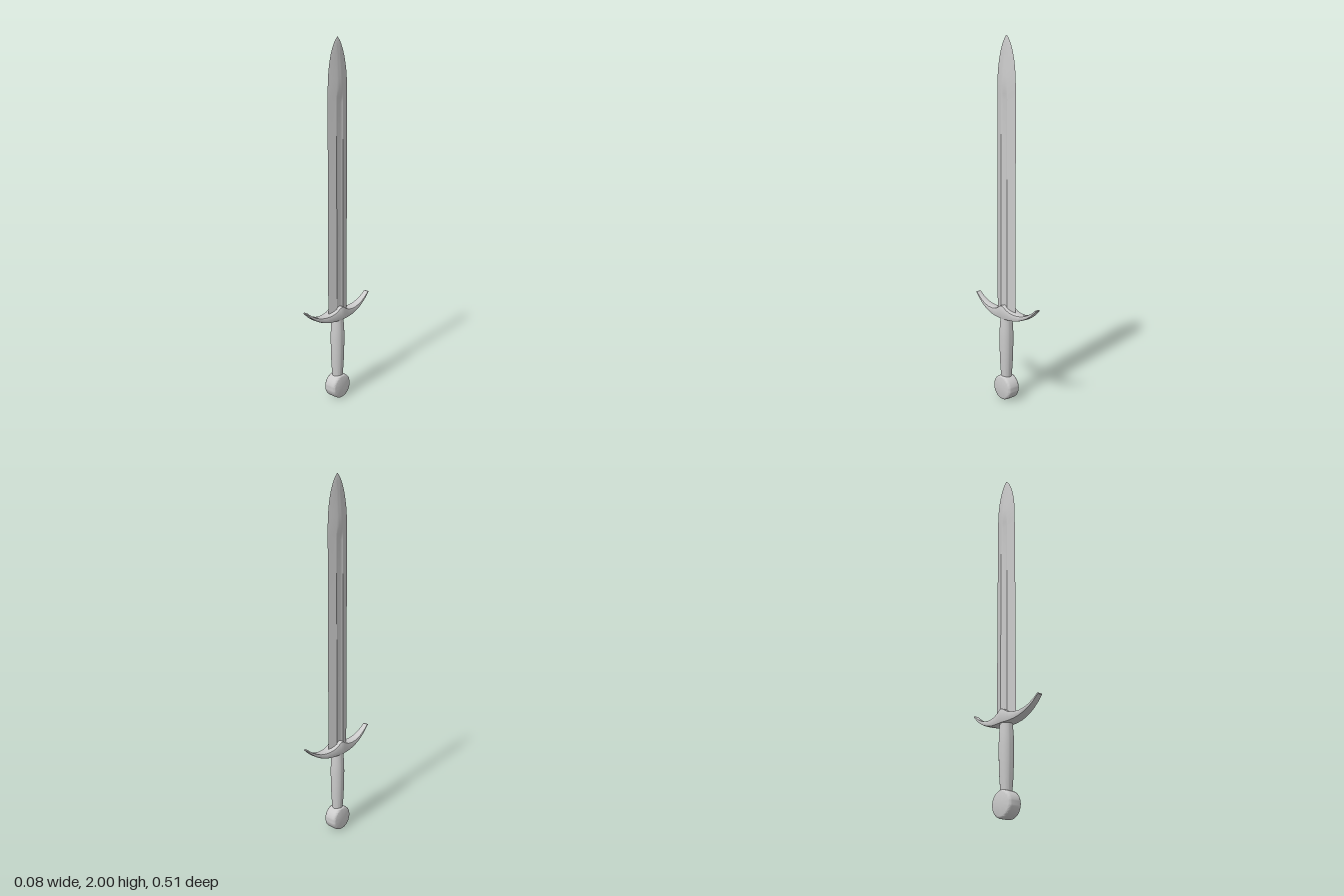
import * as THREE from 'three';
import { toCreasedNormals } from 'three/addons/utils/BufferGeometryUtils.js';

const material = new THREE.MeshStandardMaterial({ color: 0xcccccc });

// Skin between equal-length rings of [x, y, z], closed at both ends
function loft(rings, crease) {
  const n = rings[0].length, pos = rings.flat(2), index = [];
  rings.slice(1).forEach((_, k) => {
    for (let i = 0; i < n; i++) {
      const a = k * n + i, b = k * n + (i + 1) % n;
      index.push(a, b, b + n, a, b + n, a + n);
    }
  });
  [0, rings.length - 1].forEach((k) => {
    const c = pos.length / 3;
    for (let j = 0; j < 3; j++) pos.push(rings[k].reduce((s, p) => s + p[j], 0) / n);
    for (let i = 0; i < n; i++) {
      const a = k * n + i, b = k * n + (i + 1) % n;
      if (k === 0) index.push(c, b, a); else index.push(c, a, b);
    }
  });
  const geo = new THREE.BufferGeometry();
  geo.setAttribute('position', new THREE.Float32BufferAttribute(pos, 3));
  geo.setIndex(index);
  return toCreasedNormals(geo, crease);
}

function add(group, name, geometry) {
  const mesh = new THREE.Mesh(geometry, material);
  mesh.name = name;
  group.add(mesh);
  return mesh;
}

// Blade: fullered section that turns into a ridged, pointed tip
function bladeGeometry() {
  const across = [1, 0.85, 0.6, 0.34, 0.24, 0.12, 0, -0.12, -0.24, -0.34, -0.6, -0.85];
  const fullered = (u) => {
    const a = Math.abs(u);
    return a > 0.34 ? (1 - a) / 0.66 : 0.72 + 0.28 * (a / 0.34) ** 2;
  };
  const ridged = (u) => 1 - Math.abs(u) ** 1.5;
  // y, half width, half thickness, blend from fullered to ridged
  const stations = [
    [0.5, 0.076, 0.018, 0], [1.0, 0.076, 0.018, 0], [1.45, 0.076, 0.017, 0],
    [1.67, 0.075, 0.016, 0], [1.7, 0.075, 0.018, 0.5], [1.74, 0.075, 0.02, 1],
    [1.79, 0.073, 0.018, 1], [1.83, 0.069, 0.015, 1], [1.87, 0.062, 0.012, 1],
    [1.91, 0.052, 0.009, 1], [1.94, 0.041, 0.007, 1], [1.965, 0.029, 0.005, 1],
    [1.985, 0.016, 0.003, 1], [2.0, 0.001, 0.0005, 1],
  ];
  const rings = stations.map(([y, w, t, m]) => {
    const side = across.map((u) => [t * ((1 - m) * fullered(u) + m * ridged(u)), y, w * u]);
    return [...side, ...side.map(([x, , z]) => [-x, y, -z])];
  });
  return loft(rings, 0.3);
}

// Crossguard: upswept, tapering arms with softened edges
function guardGeometry() {
  // distance from centre, underside, top
  const half = [
    [0, 0.475, 0.551], [0.015, 0.475, 0.547], [0.035, 0.475, 0.533], [0.06, 0.476, 0.522],
    [0.09, 0.479, 0.517], [0.125, 0.487, 0.517], [0.16, 0.5, 0.524], [0.19, 0.516, 0.535],
    [0.22, 0.537, 0.552], [0.24, 0.555, 0.567], [0.248, 0.563, 0.575], [0.255, 0.569, 0.574],
  ];
  const arms = [...half.slice(1).reverse().map(([z, b, t]) => [-z, b, t]), ...half];
  return loft(arms.map(([z, b, t]) => {
    const w = 0.04 - 0.1 * Math.abs(z), c = Math.min(0.006, (t - b) * 0.25), d = c * 0.3;
    return [
      [w, b + c, z], [w, t - c, z], [w - d, t - d, z], [w - c, t, z], [0, t, z],
      [c - w, t, z], [d - w, t - d, z], [-w, t - c, z], [-w, b + c, z],
      [d - w, b + d, z], [c - w, b, z], [0, b, z], [w - c, b, z], [w - d, b + d, z],
    ];
  }), 0.6);
}

function lathe(points, segments) {
  const profile = points.map(([r, y]) => new THREE.Vector2(r, y));
  return toCreasedNormals(new THREE.LatheGeometry(profile, segments), 0.6);
}

export function createModel() {
  const sword = new THREE.Group();
  sword.name = 'sword';
  add(sword, 'blade', bladeGeometry());
  add(sword, 'crossguard', guardGeometry());

  // Grip: slightly swollen handle
  add(sword, 'grip', lathe([
    [0, 0.12], [0.029, 0.12], [0.031, 0.15], [0.035, 0.2], [0.038, 0.28],
    [0.039, 0.36], [0.038, 0.41], [0.035, 0.45], [0.033, 0.485], [0, 0.485],
  ], 32));

  // Pommel: thick disc facing sideways
  const pommel = add(sword, 'pommel', lathe([
    [0, -0.04], [0.058, -0.039], [0.064, -0.037], [0.068, -0.032], [0.07, -0.022],
    [0.07, 0.022], [0.068, 0.032], [0.064, 0.037], [0.058, 0.039], [0, 0.04],
  ], 48));
  pommel.rotation.z = Math.PI / 2;
  pommel.position.y = 0.07;
  return sword;
}
